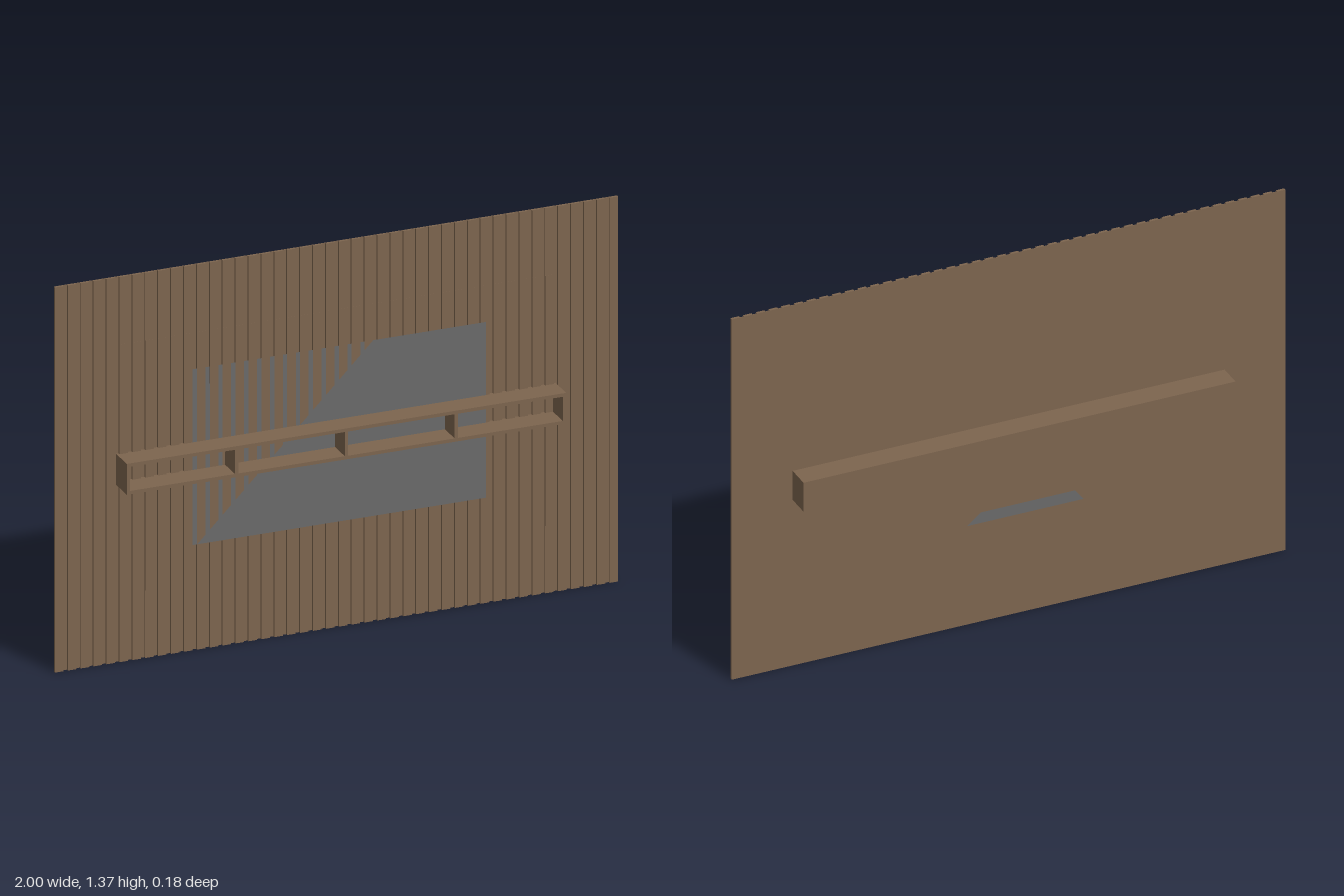
import * as THREE from 'three';

export function createModel() {
  const group = new THREE.Group();
  const wood = new THREE.MeshStandardMaterial({ color: 0x7d654e });
  wood.name = 'brown wood';
  const grey = new THREE.MeshStandardMaterial({ color: 0x6a6a6a, side: THREE.DoubleSide });
  grey.name = 'screen grey';

  // Box given by its lower and upper limits on each axis
  function box(name, [x0, x1], [y0, y1], [z0, z1], parent = group) {
    const mesh = new THREE.Mesh(new THREE.BoxGeometry(x1 - x0, y1 - y0, z1 - z0), wood);
    mesh.position.set((x0 + x1) / 2, (y0 + y1) / 2, (z0 + z1) / 2);
    mesh.name = name;
    parent.add(mesh);
  }

  // Wall panel: thin backing board with vertical slats
  const H = 1.37;
  box('backingBoard', [-1, 1], [0, H], [-0.005, -0.003]);
  const slats = new THREE.Group();
  slats.name = 'wallSlats';
  group.add(slats);
  const count = 44, gap = 0.0155;
  const pitch = (2 + gap) / count;
  for (let i = 0; i < count; i++) {
    const x = -1 + i * pitch;
    const span = [x, x + pitch - gap];
    box('slat', span, [0, H], [-0.003, 0.005], slats);
    // Central field of slats stands slightly proud
    if (x > -0.79 && x < 0.75) box('centralSlat', span, [0.24, 1.13], [0.005, 0.0055], slats);
  }

  // Screen: thin plate tilted so its upper left sinks between the slats
  const screenGeo = new THREE.PlaneGeometry(1.06, 0.625);
  screenGeo.translate(0, 0.6875, 0);
  const p = screenGeo.attributes.position;
  for (let i = 0; i < p.count; i++) {
    p.setZ(i, 0.0055 + 0.001 * (p.getX(i) - p.getY(i) + 0.87));
  }
  screenGeo.computeVertexNormals();
  const screen = new THREE.Mesh(screenGeo, grey);
  screen.name = 'screen';
  group.add(screen);

  // Small plate showing on the rear of the panel
  const plateShape = new THREE.Shape([
    new THREE.Vector2(-0.27, 0.375), new THREE.Vector2(0.15, 0.375),
    new THREE.Vector2(0.1, 0.415), new THREE.Vector2(-0.24, 0.415),
  ]);
  const plate = new THREE.Mesh(new THREE.ShapeGeometry(plateShape), grey);
  plate.position.z = -0.0062;
  plate.name = 'rearPlate';
  group.add(plate);

  // Open-fronted shelf passing through the panel
  const shelf = new THREE.Group();
  shelf.name = 'shelf';
  group.add(shelf);
  const t = 0.012, W = 0.78, D = 0.09, y0 = 0.63, y1 = 0.74;
  box('shelfTop', [-W, W], [y1 - t, y1], [-D, D], shelf);
  box('shelfBottom', [-W, W], [y0, y0 + t], [-D, D], shelf);
  box('shelfBack', [-W + t, W - t], [y0 + t, y1 - t], [-D, -D + 0.006], shelf);
  for (const s of [-1, 1]) {
    const x = s * (W - t / 2);
    box('shelfEnd', [x - t / 2, x + t / 2], [y0 + t, y1 - t], [-D, D], shelf);
  }
  for (const x of [-0.39, 0, 0.39]) {
    box('shelfDivider', [x - t / 2, x + t / 2], [y0 + t, y1 - t], [-D + 0.006, D], shelf);
  }
  return group;
}
